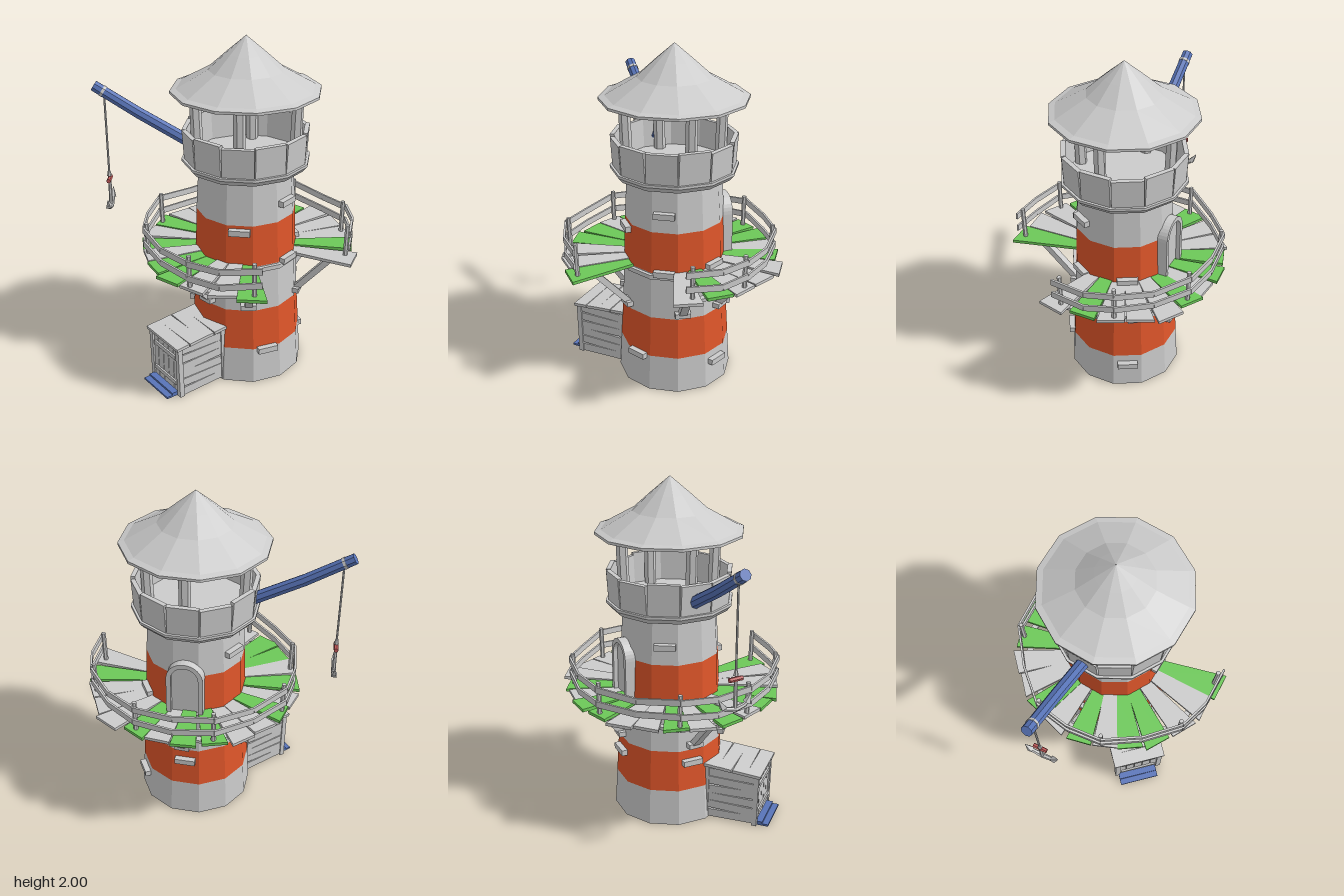
import * as THREE from 'three';

const mat = (color) => new THREE.MeshStandardMaterial({ color, flatShading: true, side: THREE.DoubleSide });
const GREY = mat(0xcccccc), ORANGE = mat(0xe0562a), GREEN = mat(0x6cc858), BLUE = mat(0x5874b8), RED = mat(0xc05858);
const CZ = 0.02; // the tower axis sits slightly in front of the origin
const rad = THREE.MathUtils.degToRad;
const pt = (x, y, z) => new THREE.Vector3(x, y, z - CZ);
const polar = (az, r, y) => new THREE.Vector3(Math.sin(rad(az)) * r, y, Math.cos(rad(az)) * r);

export function createModel() {
  const model = new THREE.Group();
  const root = new THREE.Group();
  root.name = 'lighthouse';
  root.position.z = CZ;
  model.add(root);

  const add = (name, geo, m = GREY, parent = root) => {
    const mesh = new THREE.Mesh(geo, m);
    mesh.name = name;
    parent.add(mesh);
    return mesh;
  };
  const box = (name, w, h, d, p, m = GREY) => {
    const mesh = add(name, new THREE.BoxGeometry(w, h, d), m);
    mesh.position.copy(p);
    return mesh;
  };
  // box beam from a to b
  const beam = (name, a, b, w, h, m = GREY) => {
    const mesh = new THREE.Mesh(new THREE.BoxGeometry(w, h, a.distanceTo(b)), m);
    mesh.name = name;
    mesh.position.lerpVectors(a, b, 0.5);
    mesh.lookAt(b);
    root.add(mesh);
    return mesh;
  };
  // round bar from a to b
  const rod = (name, a, b, r0, r1 = r0, m = GREY, sides = 8) => {
    const mesh = add(name, new THREE.CylinderGeometry(r1, r0, a.distanceTo(b), sides), m);
    mesh.position.lerpVectors(a, b, 0.5);
    mesh.quaternion.setFromUnitVectors(new THREE.Vector3(0, 1, 0), b.clone().sub(a).normalize());
    return mesh;
  };
  const lathe = (name, pts, m = GREY) =>
    add(name, new THREE.LatheGeometry(pts.map(([r, y]) => new THREE.Vector2(r, y)), 12), m);

  // tower wall in bands, open at the bottom
  const wall = [[0.335, 0], [0.322, 0.22], [0.307, 0.47], [0.295, 0.75], [0.287, 1.0], [0.27, 1.27]];
  for (let i = 0; i < 5; i++) lathe('towerBand', [wall[i], wall[i + 1]], i % 2 ? ORANGE : GREY);
  const wallRadius = (y) => {
    const i = wall.findIndex((w, k) => k < 5 && y <= wall[k + 1][1]);
    const [a, b] = [wall[i], wall[i + 1]];
    return a[0] + (b[0] - a[0]) * (y - a[1]) / (b[1] - a[1]);
  };

  // protruding bricks on wall facets: [azimuth, height]
  [[15, 1.105], [-45, 0.965], [15, 0.755], [-15, 0.215], [75, 0.16], [135, 0.4], [75, 0.775],
    [195, 1.11], [225, 0.4]].forEach(([az, y]) => {
    box('wallBrick', 0.12, 0.034, 0.05, polar(az, wallRadius(y) * 0.966 + 0.008, y)).rotation.y = rad(az);
  });

  // lookout: cornice, floor, parapet slabs, roof posts
  lathe('cornice', [[0.26, 1.26], [0.34, 1.265], [0.365, 1.295], [0.365, 1.31], [0, 1.312]]);
  for (let i = 0; i < 12; i++) {
    const az = 15 + i * 30, h = 0.175 + 0.008 * Math.sin(i * 2.3);
    const slab = box('parapetSlab', 0.176, h, 0.026, polar(az, 0.331, 1.308 + h / 2));
    slab.rotation.set(0.06, rad(az), 0.012 * Math.sin(i * 4.1), 'YXZ');
  }
  for (const sx of [-1, 1]) for (const sz of [-1, 1])
    rod('roofPost', new THREE.Vector3(sx * 0.195, 1.3, sz * 0.195), new THREE.Vector3(sx * 0.205, 1.72, sz * 0.205), 0.034, 0.032, GREY, 6);

  // flared roof
  lathe('roof', [[0, 1.71], [0.39, 1.7], [0.42, 1.69], [0.42, 1.705], [0.385, 1.715], [0.21, 1.815], [0.11, 1.905], [0, 2]]);

  // gallery collar and radial planks: [azimuth, outer radius, green]
  lathe('galleryCollar', [[0.28, 0.715], [0.315, 0.72], [0.315, 0.745], [0.28, 0.745]]);
  [[33, 0.65, 0], [50, 0.62, 1], [65, 0.62, 0], [80, 0.62, 0], [95, 0.645, 0], [111, 0.595, 1], [125, 0.58, 0],
    [140, 0.595, 1], [157, 0.585, 1], [173, 0.6, 0], [188, 0.59, 0], [204, 0.595, 1], [218, 0.6, 0], [235, 0.605, 1],
    [250, 0.6, 0], [264, 0.61, 1], [279, 0.63, 1], [295, 0.64, 0], [311, 0.645, 0], [325, 0.67, 1]]
    .forEach(([az, r, green], i) => {
      const skew = 0.012 * Math.sin(i * 2.7);
      const half = r * 0.122;
      const s = new THREE.Shape([[-0.038, 0.28], [0.038, 0.28], [half, r + skew], [-half, r - skew]]
        .map(([x, y]) => new THREE.Vector2(x, y)));
      const geo = new THREE.ExtrudeGeometry(s, { depth: 0.018, bevelEnabled: false });
      geo.rotateX(Math.PI / 2);
      const plank = add('galleryPlank', geo, green ? GREEN : GREY);
      plank.position.y = 0.765 + 0.004 * Math.sin(i * 1.9);
      plank.rotation.y = rad(az);
    });

  // diagonal struts with wall blocks
  for (const az of [35, 83, 132, 228, 277, 325]) {
    beam('galleryStrut', polar(az, 0.3, 0.5), polar(az, 0.52, 0.745), 0.045, 0.035);
    box('strutBlock', 0.09, 0.03, 0.07, polar(az, 0.3, 0.507)).rotation.y = rad(az);
  }

  // railing posts, two wavy rails and the bearers beneath
  const posts = [[0.345, 0.5], [0.54, 0.255], [0.525, -0.175], [0.22, -0.49], [-0.25, -0.49], [-0.535, -0.2],
    [-0.565, 0.26], [-0.345, 0.54]].map(([x, z]) => pt(x, 0, z));
  const onPost = (p, k, y) => new THREE.Vector3(p.x * k, y, p.z * k);
  posts.forEach((p, i) => {
    rod('railPost', onPost(p, 1, 0.75), onPost(p, 1.01, 0.955), 0.014, 0.013, GREY, 6);
    if (i === 7) return;
    const q = posts[i + 1], mid = p.clone().lerp(q, 0.5);
    beam('galleryBearer', onPost(p, 0.97, 0.738), onPost(q, 0.97, 0.738), 0.035, 0.018);
    [0.83, 0.915].forEach((y, k) => {
      const bend = onPost(mid, 1.085, y - 0.012 + 0.008 * Math.sin(i * 3 + k));
      const a = onPost(p, 1.04, y), b = onPost(q, 1.04, y + 0.004);
      if (i === 0) a.add(a.clone().sub(bend).setLength(0.04));
      if (i === 6) b.add(b.clone().sub(bend).setLength(0.04));
      beam('rail', a, bend, 0.012, 0.036);
      beam('rail', bend, b, 0.012, 0.036);
    });
  });

  // arched gallery door
  const arch = (w, h, Kind) => {
    const s = new Kind();
    s.moveTo(-w, 0).lineTo(w, 0).lineTo(w, h).absarc(0, h, w, 0, Math.PI, false).lineTo(-w, 0);
    return s;
  };
  const door = new THREE.Group();
  door.name = 'door';
  door.position.y = 0.76;
  door.rotation.y = rad(135);
  root.add(door);
  const frame = arch(0.105, 0.235, THREE.Shape);
  frame.holes.push(arch(0.078, 0.235, THREE.Path));
  const opts = { depth: 0.1, bevelEnabled: false, curveSegments: 8 };
  add('doorFrame', new THREE.ExtrudeGeometry(frame, opts), GREY, door).position.z = 0.22;
  add('doorLeaf', new THREE.ExtrudeGeometry(arch(0.08, 0.235, THREE.Shape), opts), GREY, door).position.z = 0.195;

  // crane boom
  const boom = [pt(-0.22, 1.37, -0.2), pt(-0.42, 1.525, -0.4), pt(-0.61, 1.685, -0.58)];
  rod('craneBoom', boom[0], boom[1].clone().lerp(boom[2], 0.03), 0.036, 0.034, BLUE);
  rod('craneBoom', boom[1], boom[2], 0.034, 0.032, BLUE);
  rod('boomBand', boom[1].clone().lerp(boom[2], 0.78), boom[1].clone().lerp(boom[2], 0.83), 0.035);

  // rope, pulley and anchor, swung across the boom
  const hang = (s, y) => pt(-0.567 + 0.64 * s, y, -0.545 - 0.77 * s);
  rod('rope', hang(0, 1.64), hang(0, 1.14), 0.006, 0.006, GREY, 6);
  rod('ropeKnot', hang(0, 1.14), hang(0, 1.17), 0.014, 0.008, GREY, 6);
  rod('pulley', hang(-0.04, 1.12), hang(0.04, 1.12), 0.013, 0.013, RED, 6);
  rod('anchorShank', hang(0, 1.12), hang(0, 0.95), 0.009, 0.012, GREY, 6);
  for (const s of [-1, 1]) {
    rod('anchorArm', hang(0, 0.95), hang(s * 0.06, 0.965), 0.015, 0.012, GREY, 6);
    rod('anchorArm', hang(s * 0.055, 0.962), hang(s * 0.085, 0.99), 0.013, 0.01, GREY, 6);
    rod('anchorFluke', hang(s * 0.07, 0.975), hang(s * 0.1, 1.025), 0.022, 0.002, GREY, 4);
  }

  // plank shed with its door on the -x side
  const [x0, x1, z0, z1] = [-0.58, -0.28, -0.11, 0.16];
  const cx = (x0 + x1) / 2, cz = (z0 + z1) / 2;
  for (const z of [z0, z1]) {
    for (let i = 0; i < 6; i++)
      box('shedSideBoard', x1 - x0, 0.05, 0.016, pt(cx, 0.032 + i * 0.054, z)).rotation.z = 0.03 * Math.sin(i * 2 + z * 9);
    for (const x of [x0, x1]) beam('shedCorner', pt(x, 0, z), pt(x - 0.006, x === x0 ? 0.325 : 0.345, z), 0.03, 0.03);
  }
  for (let i = 0; i < 5; i++)
    box('shedDoorBoard', 0.016, 0.3, 0.048, pt(x0, 0.165, z0 + 0.03 + i * 0.0525)).rotation.x = 0.012 * Math.sin(i * 3);
  for (const y of [0.08, 0.25]) box('shedDoorBatten', 0.012, 0.025, 0.22, pt(x0 - 0.012, y, cz));
  for (let i = 0; i < 4; i++) {
    const x = x0 + 0.01 + i * 0.086;
    const board = box('shedRoofBoard', 0.084, 0.018, z1 - z0 + 0.05, pt(x, 0.332 + i * 0.006, cz));
    board.rotation.set(0, 0.02 * Math.sin(i * 2.2), 0.08);
  }
  box('shedStep', 0.07, 0.012, 0.245, pt(-0.628, 0.006, 0.018), BLUE);
  box('shedStep', 0.04, 0.012, 0.245, pt(-0.607, 0.018, 0.018), BLUE);

  return model;
}
